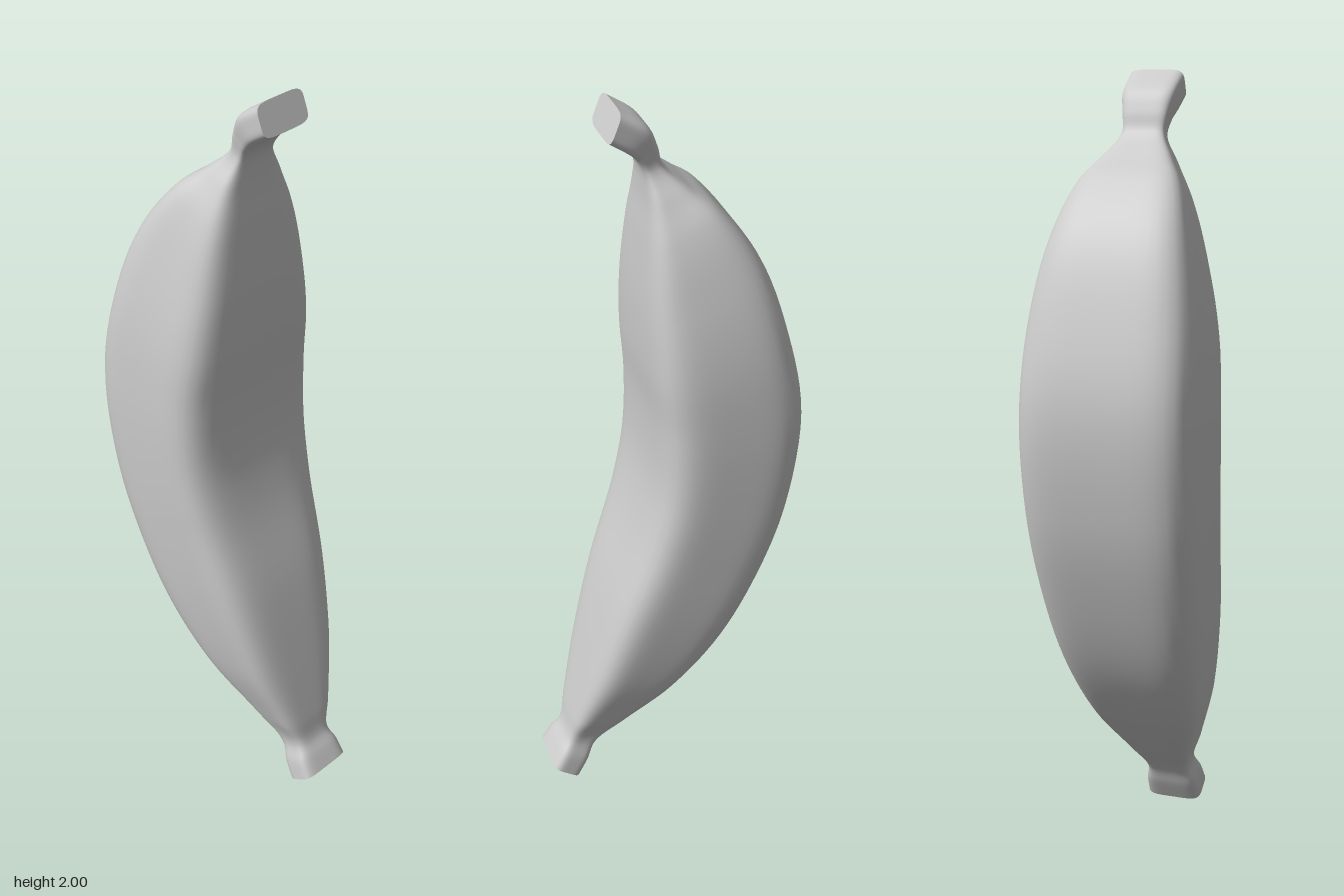
import * as THREE from 'three';

// Stations from blossom end to stem tip: [front z, front y, back z, back y, half width]
const STATIONS = [
  [0.33, 0.055, 0.255, 0.0, 0.077],
  [0.305, 0.097, 0.226, 0.05, 0.072],
  [0.28, 0.135, 0.2, 0.1, 0.06],
  [0.262, 0.21, 0.11, 0.19, 0.09],
  [0.217, 0.39, -0.02, 0.325, 0.148],
  [0.155, 0.62, -0.14, 0.495, 0.188],
  [0.08, 0.855, -0.235, 0.705, 0.212],
  [0.048, 1.015, -0.3, 0.92, 0.223],
  [0.043, 1.185, -0.328, 1.185, 0.225],
  [0.055, 1.34, -0.285, 1.42, 0.213],
  [0.058, 1.5, -0.215, 1.615, 0.18],
  [0.05, 1.66, -0.12, 1.745, 0.135],
  [0.042, 1.77, -0.055, 1.797, 0.09],
  [0.046, 1.835, 0.0, 1.85, 0.056],
  [0.065, 1.87, 0.014, 1.9, 0.06],
  [0.095, 1.897, 0.037, 1.95, 0.069],
  [0.135, 1.925, 0.105, 2.0, 0.072],
];
const SIDES = 64;
const STEPS = 6;
const SQUARENESS = 5;

const frontCurve = new THREE.CatmullRomCurve3(STATIONS.map(s => new THREE.Vector3(0, s[1], s[0])));
// The back curve carries the half width in x
const backCurve = new THREE.CatmullRomCurve3(STATIONS.map(s => new THREE.Vector3(s[4], s[3], s[2])));

// Rounded-square ring spanning the front and back curves at t
function ring(t) {
  const f = frontCurve.getPoint(t), b = backCurve.getPoint(t);
  const points = [];
  for (let i = 0; i < SIDES; i++) {
    const a = (i / SIDES) * Math.PI * 2;
    const u = Math.sin(a), v = Math.cos(a);
    const r = (Math.abs(u) ** SQUARENESS + Math.abs(v) ** SQUARENESS) ** (-1 / SQUARENESS);
    const k = (1 + v * r) / 2;
    points.push(new THREE.Vector3(b.x * u * r, b.y + (f.y - b.y) * k, b.z + (f.z - b.z) * k));
  }
  return points;
}

function makeMesh(name, points, index, material) {
  const geometry = new THREE.BufferGeometry().setFromPoints(points);
  geometry.setIndex(index);
  geometry.computeVertexNormals();
  const mesh = new THREE.Mesh(geometry, material);
  mesh.name = name;
  return mesh;
}

// Flat end face closing a ring
function makeCap(name, points, up, material) {
  const centre = new THREE.Vector3();
  points.forEach(p => centre.addScaledVector(p, 1 / SIDES));
  const index = [];
  for (let i = 0; i < SIDES; i++) {
    const j = (i + 1) % SIDES;
    index.push(SIDES, up ? i : j, up ? j : i);
  }
  return makeMesh(name, [...points, centre], index, material);
}

export function createModel() {
  const group = new THREE.Group();
  group.name = 'banana';
  const material = new THREE.MeshStandardMaterial({ color: 0xcccccc });

  // Peel: a smooth loft through all rings
  const count = (STATIONS.length - 1) * STEPS;
  const points = [], index = [];
  for (let s = 0; s <= count; s++) {
    points.push(...ring(s / count));
    if (s === count) break;
    for (let i = 0; i < SIDES; i++) {
      const a = s * SIDES + i, b = s * SIDES + (i + 1) % SIDES;
      index.push(a, b, b + SIDES, a, b + SIDES, a + SIDES);
    }
  }
  group.add(makeMesh('peel', points, index, material));

  // End faces with sharp rims
  group.add(makeCap('blossomEnd', ring(0), false, material));
  group.add(makeCap('stemTip', ring(1), true, material));
  return group;
}
